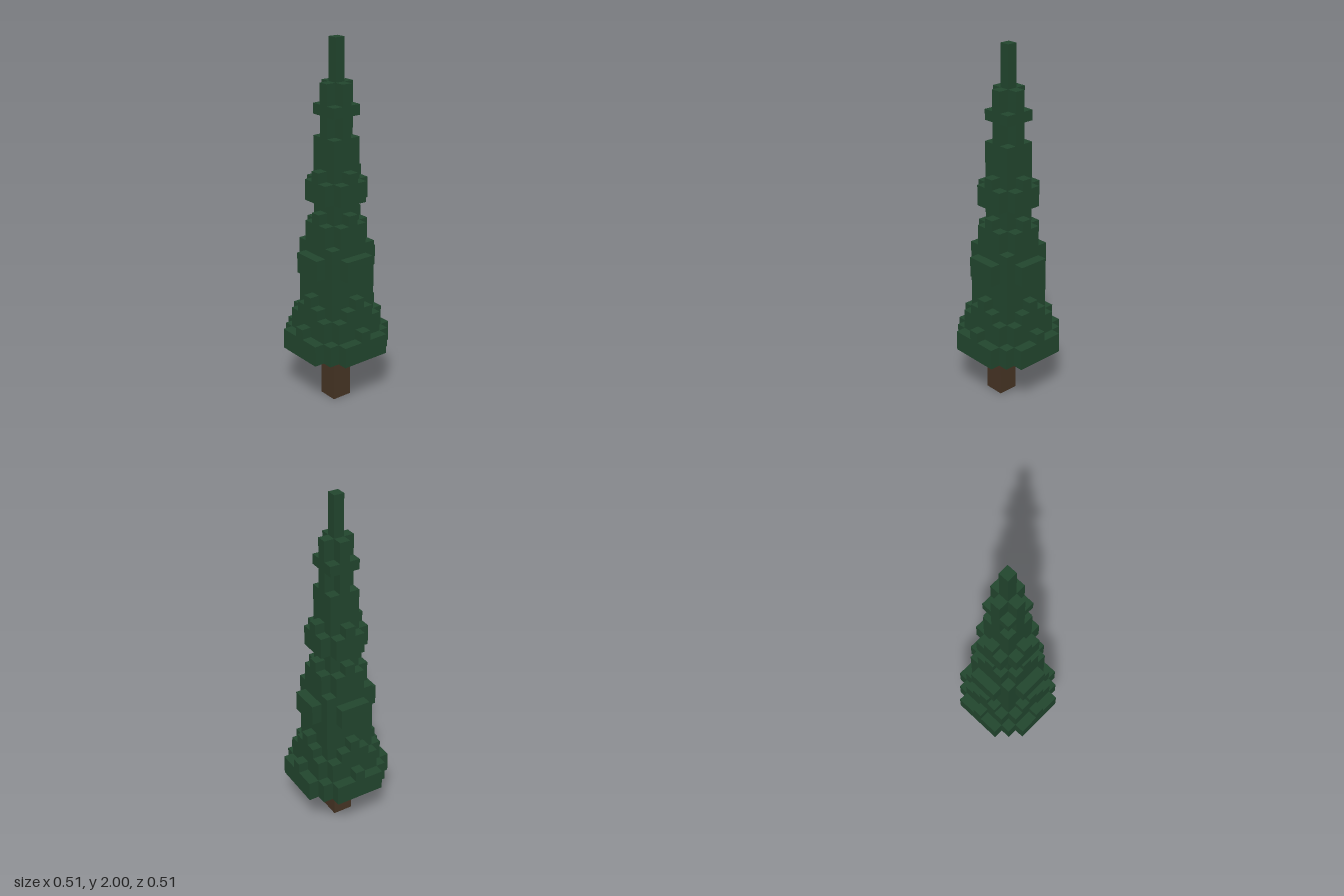
import * as THREE from 'three';

const V = 2 / 35; // edge of one block

// Stepped disc outline: every block whose centre satisfies x² + z² <= r2
function steppedDisc(r2) {
  const R = Math.floor(Math.sqrt(r2));
  const right = [];
  let last = null;
  for (let z = -R; z <= R; z++) {
    const w = Math.floor(Math.sqrt(r2 - z * z)) + 0.5;
    if (w === last) continue;
    if (last !== null) right.push([last, z - 0.5]);
    right.push([w, z - 0.5]);
    last = w;
  }
  right.push([last, R + 0.5]);
  const left = right.map(([x, z]) => [-x, z]).reverse();
  return new THREE.Shape([...right, ...left].map(([x, z]) => new THREE.Vector2(x * V, z * V)));
}

export function createModel() {
  const tree = new THREE.Group();
  tree.name = 'blockTree';
  const needles = new THREE.MeshStandardMaterial({ color: 0x22462e });
  needles.name = 'dark green needles';
  const bark = new THREE.MeshStandardMaterial({ color: 0x463424 });
  bark.name = 'brown bark';

  // Trunk, two blocks wide and half a block off centre
  const trunk = new THREE.Mesh(new THREE.BoxGeometry(2 * V, 5 * V, 2 * V), bark);
  trunk.name = 'trunk';
  trunk.position.set(V / 2, 2.5 * V, V / 2);
  tree.add(trunk);

  // Foliage layers from the bottom up: [squared radius, height in blocks]
  const layers = [
    [20, 2], [16, 1], [13, 1], [10, 1], [9, 1], [8, 2], // lowest skirt
    [10, 2], [8, 1], [5, 2], [4, 1], [2, 1], // middle skirt
    [5, 2], [4, 1], [2, 3], [1, 2], // upper skirt
    [2, 1], [1, 2], [0, 4], // collar and tip
  ];
  const foliage = new THREE.Group();
  foliage.name = 'foliage';
  let y = 5;
  layers.forEach(([r2, h], i) => {
    const geometry = new THREE.ExtrudeGeometry(steppedDisc(r2), { depth: h * V, bevelEnabled: false });
    geometry.rotateX(-Math.PI / 2);
    const layer = new THREE.Mesh(geometry, needles);
    layer.name = i === layers.length - 1 ? 'tip' : `foliageLayer${i + 1}`;
    layer.position.y = y * V;
    foliage.add(layer);
    y += h;
  });
  tree.add(foliage);
  return tree;
}
